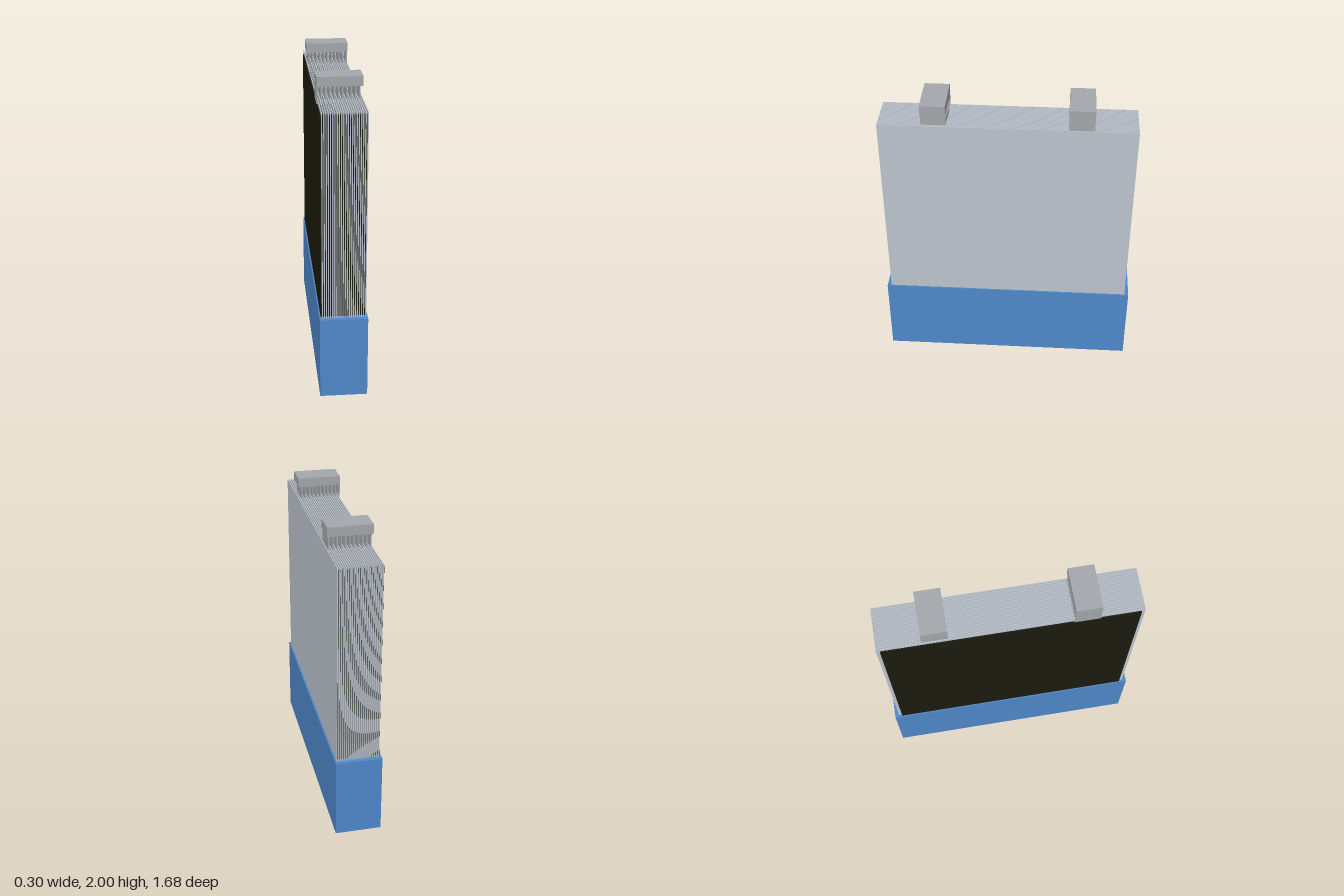
import * as THREE from 'three';

export function createModel() {
  const model = new THREE.Group();
  model.name = 'batteryCell';

  const mat = (name, color) => {
    const m = new THREE.MeshStandardMaterial({ color });
    m.name = name;
    return m;
  };
  const blue = mat('trayBlue', 0x4f87c9);
  const black = mat('plateBlack', 0x1b1b0e);
  const light = mat('separatorGrey', 0xbcc3cd);
  const grey = mat('terminalGrey', 0xa4a7ab);

  // Box given by its minimum and maximum corners
  const box = (name, material, x0, x1, y0, y1, z0, z1, parent = model) => {
    const mesh = new THREE.Mesh(new THREE.BoxGeometry(x1 - x0, y1 - y0, z1 - z0), material);
    mesh.position.set((x0 + x1) / 2, (y0 + y1) / 2, (z0 + z1) / 2);
    mesh.name = name;
    parent.add(mesh);
    return mesh;
  };

  // Tray that holds the stack
  const trayTop = 0.54;
  box('tray', blue, -0.15, 0.15, 0, trayTop, -0.84, 0.84);

  // Stack of electrode plates, each followed by a slightly larger separator
  const stack = new THREE.Group();
  stack.name = 'plateStack';
  model.add(stack);
  const count = 22, left = -0.142, right = 0.14;
  const pitch = (right - left) / count;
  const plateThickness = pitch * 0.58;
  for (let i = 0; i < count; i++) {
    const x = left + i * pitch;
    const xMid = x + plateThickness;
    box('electrodePlate', black, x, xMid, trayTop - 0.02, 1.836, -0.79, 0.79, stack);
    box('separator', light, xMid, x + pitch, trayTop - 0.02, 1.858, -0.813, 0.813, stack);

    // Plate tabs alternate between the front and back terminals
    const z = i % 2 ? -0.46 : 0.46;
    box('plateTab', grey, x, xMid, 1.836, 1.94, z - 0.08, z + 0.08, stack);
  }

  // Terminal bars that join the tabs
  for (const z of [-0.46, 0.46]) {
    box(z > 0 ? 'frontTerminalBar' : 'backTerminalBar', grey, left, right, 1.94, 2, z - 0.08, z + 0.08);
  }

  return model;
}
